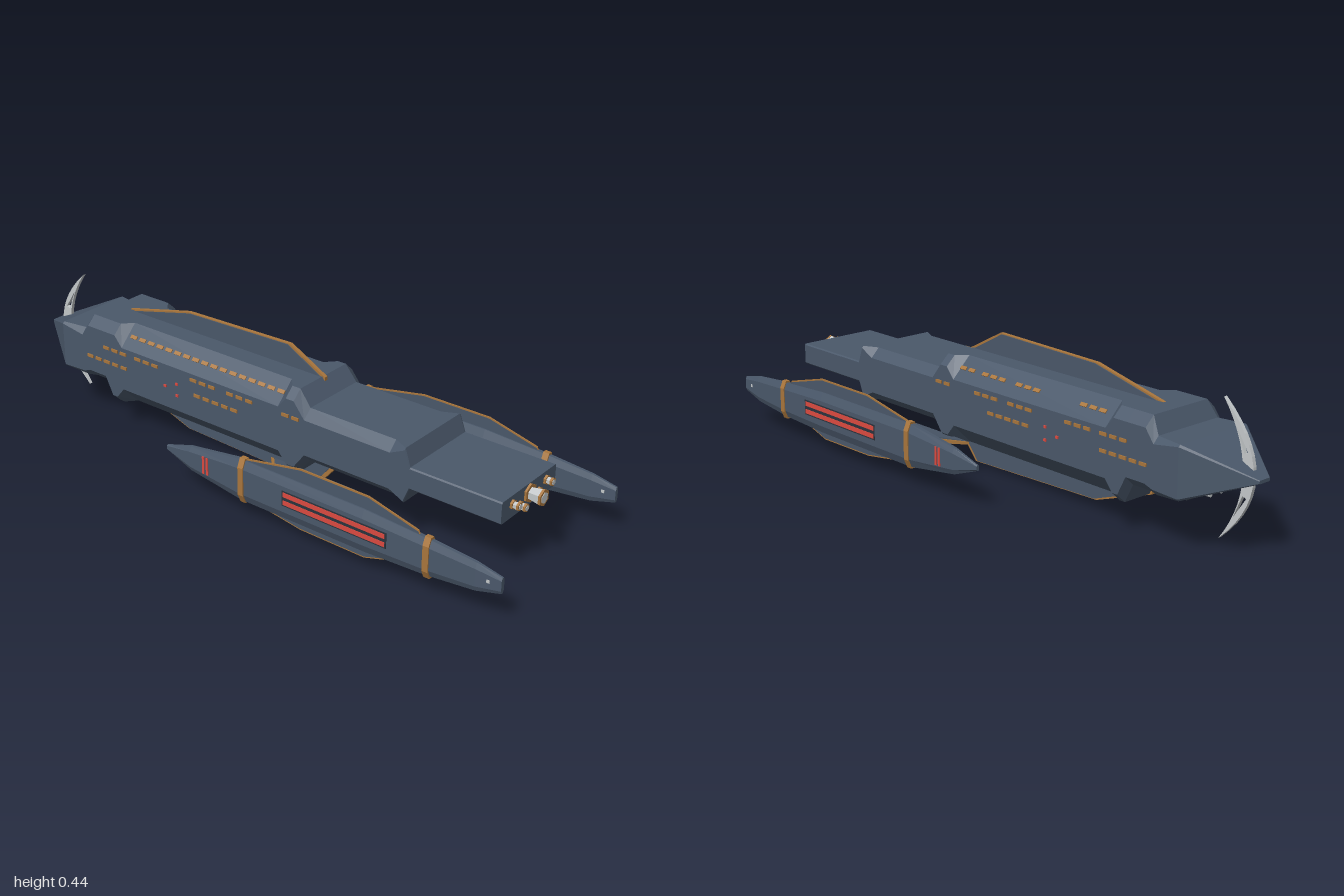
import * as THREE from 'three';
import { ConvexGeometry } from 'three/addons/geometries/ConvexGeometry.js';

const paint = (name, color) => Object.assign(new THREE.MeshStandardMaterial({ color }), { name });

// Closed loft through eight-sided rings [z, halfWidth, top, bottom, chamferInset, chamferDrop], front to back
function loft(rings) {
  const pos = [], idx = [], n = 8;
  for (const [z, w, t, b, c, d] of rings) {
    const half = [[w, b + d], [w, t - d], [w - c, t]];
    const ring = [[w - c, b], ...half, [c - w, t], [-w, t - d], [-w, b + d], [c - w, b]];
    for (const [x, y] of ring) pos.push(x, y, z);
  }
  const last = (rings.length - 1) * n;
  for (let r = 0; r < last; r += n) {
    for (let j = 0; j < n; j++) {
      const a = r + j, k = r + (j + 1) % n;
      idx.push(a, a + n, k, k, a + n, k + n);
    }
  }
  for (let j = 1; j < n - 1; j++) idx.push(0, j, j + 1, last, last + j + 1, last + j);
  const indexed = new THREE.BufferGeometry();
  indexed.setAttribute('position', new THREE.Float32BufferAttribute(pos, 3));
  indexed.setIndex(idx);
  const g = indexed.toNonIndexed();
  g.computeVertexNormals();
  return g;
}

// Upright plate in the z-y plane, centred on x = 0
function plate(shape, thickness) {
  const g = new THREE.ExtrudeGeometry(shape, { depth: thickness, bevelEnabled: false, curveSegments: 14 });
  return g.translate(0, 0, -thickness / 2).rotateY(-Math.PI / 2);
}
const polygon = pts => new THREE.Shape(pts.map(p => new THREE.Vector2(...p)));

export function createModel() {
  const model = new THREE.Group();
  model.name = 'spaceship';
  const navy = paint('slate hull', 0x4a586a);
  const gold = paint('bronze trim', 0xa9763c);
  const red = paint('red glow', 0xdc4a40);
  const steel = paint('light steel', 0xc4c8ca);
  const dark = paint('dark slate', 0x2b333d);

  function add(parent, name, geo, mat, x = 0, y = 0, z = 0) {
    const m = new THREE.Mesh(geo, mat);
    m.name = name;
    m.position.set(x, y, z);
    parent.add(m);
    return m;
  }
  const box = (parent, name, mat, size, at) => add(parent, name, new THREE.BoxGeometry(...size), mat, ...at);

  // Stepped hull with recessed chamfers amidships and a wedge nose at the back end
  add(model, 'hull', loft([
    [0.885, 0.142, 0.27, 0.2, 0.004, 0.004],
    [0.58, 0.142, 0.27, 0.2, 0.004, 0.004],
    [0.56, 0.142, 0.325, 0.148, 0.006, 0.006],
    [0.51, 0.142, 0.325, 0.148, 0.03, 0.03],
    [0.2, 0.142, 0.325, 0.148, 0.03, 0.03],
    [0.16, 0.142, 0.375, 0.095, 0.032, 0.03],
    [0.13, 0.142, 0.375, 0.095, 0.032, 0.03],
    [0.1, 0.142, 0.375, 0.095, 0.066, 0.066],
    [-0.55, 0.142, 0.375, 0.095, 0.066, 0.066],
    [-0.58, 0.142, 0.375, 0.095, 0.032, 0.03],
    [-0.6, 0.142, 0.375, 0.095, 0.032, 0.03],
    [-0.63, 0.142, 0.375, 0.155, 0.032, 0.03],
    [-0.7, 0.142, 0.375, 0.155, 0.032, 0.03],
    [-0.73, 0.142, 0.325, 0.155, 0.02, 0.02],
    [-0.82, 0.142, 0.325, 0.165, 0.006, 0.006],
    [-1, 0.022, 0.243, 0.233, 0.002, 0.002],
  ]), navy);

  // Dorsal and ventral fins: bronze edge around a thicker slate body
  const fins = {
    dorsalFin: [[0.17, 0.36], [0.17, 0.375], [0.035, 0.446], [-0.38, 0.436], [-0.64, 0.375], [-0.64, 0.36]],
    ventralFin: [[0.22, 0.11], [0.22, 0.085], [0.15, 0.002], [-0.39, 0.018], [-0.61, 0.095], [-0.61, 0.11]],
  };
  for (const [name, pts] of Object.entries(fins)) {
    const inset = pts.map(([z, y]) => [-0.2 + (z + 0.2) * 0.965, 0.235 + (y - 0.235) * 0.985]);
    const t = name === 'dorsalFin' ? 0.012 : 0.018;
    add(model, name + 'Edge', plate(polygon(pts), t), gold);
    add(model, name, plate(polygon(inset), t + 0.007), navy);
  }

  // Engine nozzles: flared hexagons with bronze rims
  for (const [x, y, r, len] of [[0, 0.24, 0.026, 0.045], [-0.088, 0.243, 0.013, 0.022], [0.088, 0.243, 0.013, 0.022],
    [-0.05, 0.222, 0.013, 0.022], [0.05, 0.222, 0.013, 0.022]]) {
    const hex = (a, b, l) => new THREE.CylinderGeometry(a, b, l, 6).rotateX(Math.PI / 2).toNonIndexed();
    const parts = [['nozzleBase', hex(r * 1.15, r * 1.15, 0.008), gold, 0.888],
      ['nozzle', hex(r, r * 0.7, len), steel, 0.885 + len / 2],
      ['nozzleRim', hex(r * 1.02, r * 1.02, 0.007), gold, 0.885 + len],
      ['nozzleGlow', hex(r * 0.68, r * 0.68, 0.006), steel, 0.886 + len + 0.001]];
    for (const [name, geo, mat, z] of parts) {
      geo.computeVertexNormals();
      add(model, name, geo, mat, x, y, z);
    }
  }

  // Thin crescent blade at the nose, with one long slot in each horn
  const crescent = new THREE.Shape();
  crescent.moveTo(-0.855, 0.44);
  crescent.quadraticCurveTo(-1.08, 0.238, -0.855, 0.035);
  crescent.quadraticCurveTo(-1.005, 0.238, -0.855, 0.44);
  for (const s of [1, -1]) {
    const slot = new THREE.Path();
    slot.moveTo(-0.902, 0.238 + s * 0.13);
    slot.lineTo(-0.945, 0.238 + s * 0.065);
    slot.lineTo(-0.932, 0.238 + s * 0.06);
    crescent.holes.push(slot);
  }
  add(model, 'noseCrescent', plate(crescent, 0.012), steel);

  // Chin guns
  box(model, 'chinPlate', dark, [0.18, 0.006, 0.11], [0, 0.156, -0.755]);
  for (const x of [-0.045, 0, 0.045])
    add(model, 'chinGun', new THREE.CylinderGeometry(0.008, 0.008, 0.07, 8).rotateX(Math.PI / 2), steel, x, 0.171, -0.82);

  // Rows of lit windows along each side
  const flank = [
    [0.29, 0.18, 0.12], [0.29, 0, -0.12], [0.29, -0.15, -0.26], [0.29, -0.39, -0.5], [0.29, -0.53, -0.65],
    [0.24, -0.06, -0.26], [0.24, -0.53, -0.7],
  ];
  const roofRight = [[0.1, 0.04], [0, -0.11], [-0.15, -0.24], [-0.42, -0.53]];
  const roofLeft = [[0.1, -0.11], [-0.13, -0.53]];
  const step = 0.038;
  for (const s of [1, -1]) {
    for (const [y, z0, z1] of flank)
      for (let z = z0 - 0.013; z > z1; z -= step)
        box(model, 'sideWindow', gold, [0.008, 0.01, 0.026], [s * 0.142, y, z]);
    for (const [z0, z1] of s > 0 ? roofRight : roofLeft)
      for (let z = z0 - 0.013; z > z1; z -= step)
        box(model, 'roofWindow', gold, [0.006, 0.012, 0.026], [s * 0.109, 0.342, z]).rotation.z = s * Math.PI / 4;
    for (const [y, z] of [[0.255, -0.31], [0.215, -0.31], [0.235, -0.36]])
      box(model, 'markerLight', red, [0.008, 0.008, 0.01], [s * 0.142, y, z]);
  }

  // Pylons: swept, lens-thick slabs with bronze leading and trailing edges
  const pylon = (s, inset, root, mid) => {
    const pts = [];
    for (const [x, y, front, back, t] of [[0.12, 0.109, 0.39, 0.055, root], [0.2, 0.119, 0.425, 0.125, mid],
      [0.295, 0.131, 0.47, 0.21, root]])
      for (const z of [front - inset, back + inset])
        for (const h of [-t, t]) pts.push(new THREE.Vector3(s * x, y + h, z));
    return new ConvexGeometry(pts);
  };

  // Side nacelles
  const ring = (z, w, t, b) => [z, w, t, b, w * 0.6, (t - b) * 0.19];
  const band = (z, w, t, b) => loft([ring(z + 0.01, w, t, b), ring(z - 0.01, w, t, b)]);
  for (const s of [1, -1]) {
    add(model, 'pylonEdge', pylon(s, 0, 0.004, 0.007), gold);
    add(model, 'pylon', pylon(s, 0.012, 0.006, 0.012), navy);

    const pod = new THREE.Group();
    pod.name = s > 0 ? 'leftNacelle' : 'rightNacelle';
    pod.position.x = s * 0.306;
    model.add(pod);
    add(pod, 'nacelleBody', loft([
      ring(1, 0.007, 0.162, 0.112), ring(0.92, 0.011, 0.178, 0.09), ring(0.76, 0.015, 0.191, 0.074),
      ring(0.55, 0.0175, 0.203, 0.066), ring(0.1, 0.0175, 0.203, 0.066), ring(-0.1, 0.012, 0.176, 0.094),
      ring(-0.2, 0.005, 0.147, 0.13),
    ]), navy);
    add(pod, 'frontBand', band(0.765, 0.018, 0.197, 0.067), gold);
    add(pod, 'rearBand', band(0.108, 0.0205, 0.209, 0.061), gold);

    // Keel and crest fins with bronze edges
    const crest = [[0.74, 0.18], [0.73, 0.203], [0.56, 0.246], [0.32, 0.246], [0.1, 0.205], [0.1, 0.18]];
    const keel = [[0.64, 0.09], [0.62, 0.064], [0.55, 0.043], [0.32, 0.045], [0.18, 0.066], [0.18, 0.09]];
    for (const [name, pts, dy] of [['crestFin', crest, -0.005], ['keelFin', keel, 0.004]]) {
      add(pod, name + 'Edge', plate(polygon(pts), 0.004), gold);
      add(pod, name, plate(polygon(pts), 0.006), navy, 0, dy, 0);
    }

    // Red strips outside, bronze strips inside, red ticks at the rear
    box(pod, 'stripBacking', dark, [0.004, 0.05, 0.37], [s * 0.0165, 0.138, 0.45]);
    for (const y of [0.151, 0.125]) {
      box(pod, 'glowStrip', red, [0.006, 0.015, 0.36], [s * 0.017, y, 0.45]);
      for (const z of [0.53, 0.33])
        box(pod, 'innerStrip', gold, [0.006, 0.008, 0.17], [s * -0.018, y + (y > 0.14 ? 0.009 : -0.015), z]);
    }
    for (const z of [-0.027, -0.042])
      for (const side of [1, -1])
        box(pod, 'rearTick', red, [0.006, 0.058, 0.008], [side * 0.0135, 0.136, z]);
    for (const side of [1, -1])
      box(pod, 'tipLight', steel, [0.004, 0.01, 0.01], [side * 0.008, 0.138, 0.96]);
  }
  return model;
}
